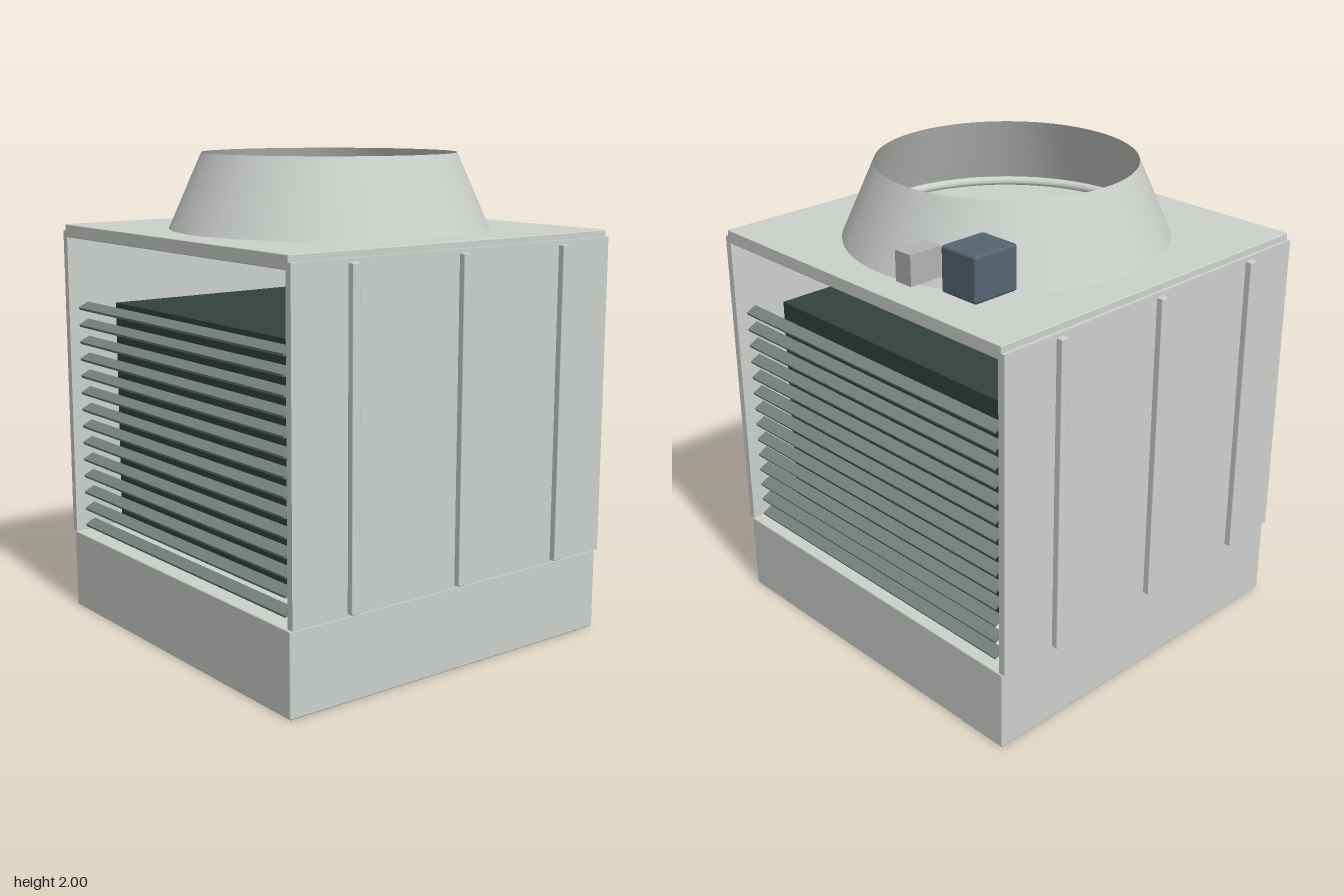
import * as THREE from 'three';
import { RoundedBoxGeometry } from 'three/addons/geometries/RoundedBoxGeometry.js';

const mat = (color) => new THREE.MeshStandardMaterial({ color });

export function createModel() {
  const model = new THREE.Group();
  const casing = mat(0xcdd1cc);
  const fillMat = mat(0x35423f);
  const slatMat = mat(0x76827d);
  const motorMat = mat(0x566572);
  const boxMat = mat(0xb4b2b2);

  function add(name, geometry, material, x, y, z) {
    const mesh = new THREE.Mesh(geometry, material);
    mesh.name = name;
    mesh.position.set(x, y, z);
    model.add(mesh);
    return mesh;
  }
  const box = (w, h, d) => new THREE.BoxGeometry(w, h, d);
  const rounded = (w, h, d, r) => new RoundedBoxGeometry(w, h, d, 2, r);

  // water basin and fan deck
  add('basin', rounded(1.6, 0.34, 1.6, 0.006), casing, 0, 0.17, 0);
  add('fanDeck', rounded(1.6, 0.055, 1.6, 0.004), casing, 0, 1.6645, 0);

  // front and back walls with vertical ribs
  for (const s of [1, -1]) {
    add(s > 0 ? 'frontWall' : 'backWall', box(1.6, 1.32, 0.03), casing, 0, 1.005, s * 0.8);
    for (const x of [-0.53, 0, 0.53]) {
      add('wallRib', rounded(0.036, 1.295, 0.03, 0.004), casing, x, 1.0025, s * 0.827);
    }
  }

  // heat-exchange fill
  add('fill', box(1.23, 0.97, 1.42), fillMat, 0, 0.865, 0);

  // tilted louvre slats on the two open sides
  const slatGeometry = box(0.05, 0.012, 1.48);
  for (const s of [1, -1]) {
    for (let i = 0; i < 14; i++) {
      const slat = add('louvreSlat', slatGeometry, slatMat, s * 0.755, 0.386 + i * 0.0738, 0);
      slat.rotation.z = -s * 0.45;
    }
  }

  // open conical fan stack with a seating ring inside its foot
  const stackMat = casing.clone();
  stackMat.side = THREE.DoubleSide;
  add('fanStack', new THREE.CylinderGeometry(0.525, 0.663, 0.31, 64, 1, true), stackMat, 0, 1.845, 0);
  const ring = add('stackRing', new THREE.TorusGeometry(0.62, 0.02, 10, 64), casing, 0, 1.705, 0);
  ring.rotation.x = Math.PI / 2;

  // drive motor and its junction box
  add('motor', rounded(0.207, 0.18, 0.18, 0.012), motorMat, 0.583, 1.82, -0.463);
  add('junctionBox', box(0.145, 0.12, 0.083), boxMat, 0.708, 1.82, -0.278);

  return model;
}
